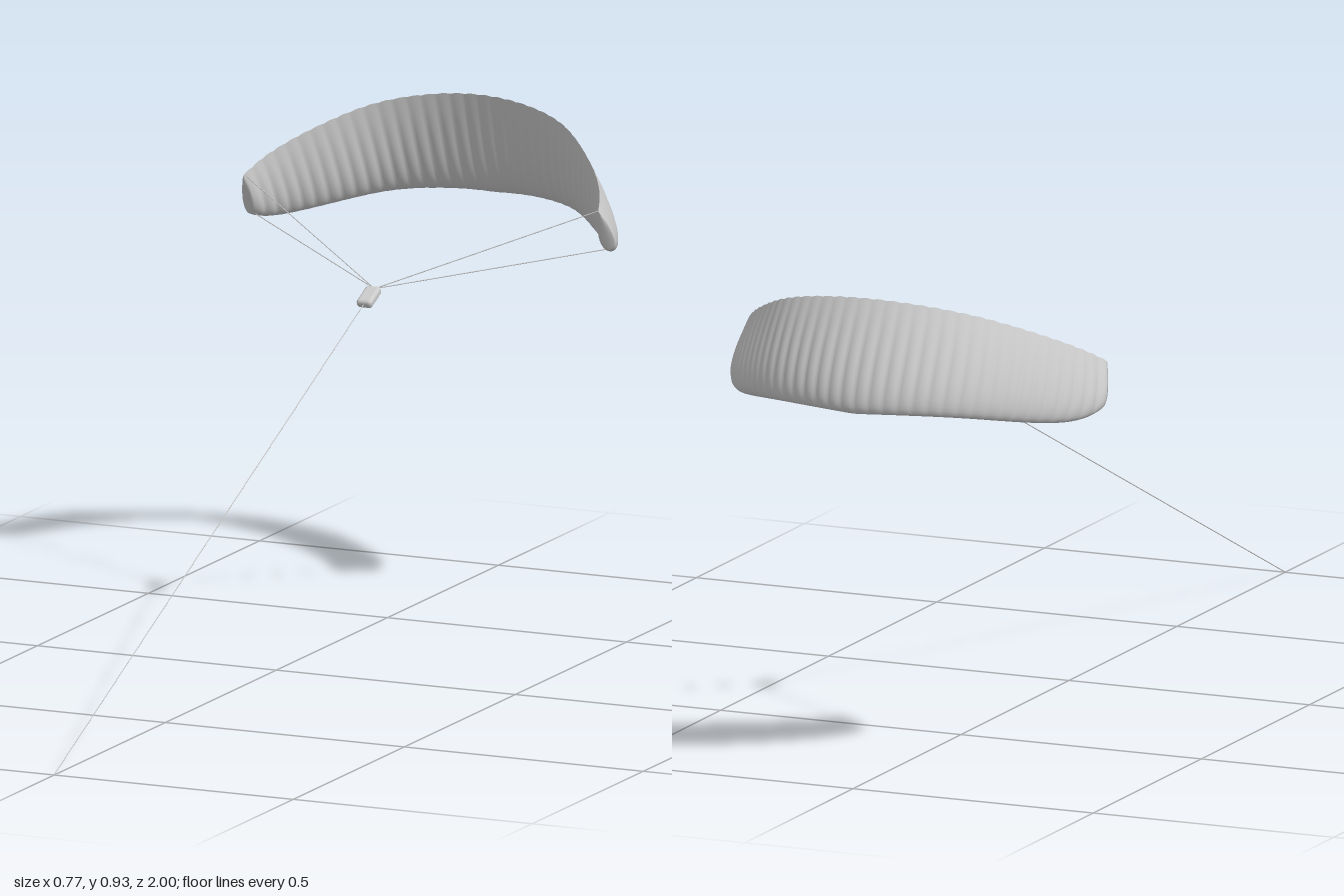
import * as THREE from 'three';
import { RoundedBoxGeometry } from 'three/addons/geometries/RoundedBoxGeometry.js';

const CELLS = 36, PER_CELL = 6, RING = 14;
const TILT = 0.429; // pull angle of the tether
// Kite axes: U points away along the tether, V runs from nose to trailing edge
const U = new THREE.Vector3(0, Math.sin(TILT), -Math.cos(TILT));
const V = new THREE.Vector3(0, Math.cos(TILT), Math.sin(TILT));

const grey = new THREE.MeshStandardMaterial({ color: 0xcccccc });
const cloth = new THREE.MeshStandardMaterial({ color: 0xcccccc, side: THREE.DoubleSide });

// Span arch in the x-U plane
const half = [[0.1, 1.2], [0.2, 1.155], [0.3, 1.055], [0.35, 0.98], [0.372, 0.922]];
const arch = new THREE.CatmullRomCurve3([
  ...half.slice().reverse().map(([x, u]) => new THREE.Vector3(-x, u, 0)),
  new THREE.Vector3(0, 1.214, 0),
  ...half.map(([x, u]) => new THREE.Vector3(x, u, 0)),
]);

// Half thickness of the aerofoil, 1 at its fattest; q = 0 nose, 1 trailing edge
const foil = (q) =>
  2 * (1.4845 * Math.sqrt(q) - 0.63 * q - 1.758 * q * q + 1.4215 * q ** 3 - 0.518 * q ** 4);

function canopyGeometry() {
  const pos = [], index = [];
  const stations = CELLS * PER_CELL, row = 2 * RING + 1;
  for (let i = -1; i <= stations + 1; i++) {
    const s = Math.min(Math.max(i / stations, 0), 1);
    const closed = i < 0 || i > stations; // flat end rings close the tips
    const a = Math.abs(2 * s - 1);
    const p = arch.getPointAt(s), t = arch.getTangentAt(s);
    const puff = Math.abs(Math.sin(Math.PI * s * CELLS));
    const nose = 0.25 + 0.07 * a ** 1.3 + 0.04 * a ** 10;
    const tail = 0.471 - 0.02 * a * a + 0.002 * puff;
    const thick = closed ? 0 : 0.017 - 0.005 * a ** 4 + 0.0035 * puff;
    for (let j = 0; j < row; j++) {
      // outer skin from trailing edge to nose, then inner skin back
      const k = Math.abs(1 - j / RING);
      const q = k * k;
      const side = j <= RING ? 1 : -1;
      const off = side * thick * foil(q) + (1 - q) * (-0.008 + 0.014 * a ** 4);
      const x = p.x - t.y * off, u = p.y + t.x * off;
      const v = nose + (tail - nose) * q;
      pos.push(x, U.y * u + V.y * v, U.z * u + V.z * v);
    }
  }
  for (let i = 0; i < stations + 2; i++) {
    for (let j = 0; j < row - 1; j++) {
      const a = i * row + j, b = a + row;
      index.push(a, b, a + 1, b, b + 1, a + 1);
    }
  }
  const g = new THREE.BufferGeometry();
  g.setAttribute('position', new THREE.Float32BufferAttribute(pos, 3));
  g.setIndex(index);
  g.computeVertexNormals();
  return g;
}

export function createModel() {
  const group = new THREE.Group();
  const add = (name, geometry, material = grey) => {
    const mesh = new THREE.Mesh(geometry, material);
    mesh.name = name;
    group.add(mesh);
    return mesh;
  };
  const line = (name, from, to, radius) =>
    add(name, new THREE.TubeGeometry(
      new THREE.LineCurve3(new THREE.Vector3(...from), new THREE.Vector3(...to)), 1, radius, 6));

  // Ribbed inflated wing
  add('canopy', canopyGeometry(), cloth);

  // Control pod, in line with the tether
  const pod = add('controlPod', new RoundedBoxGeometry(0.032, 0.017, 0.055, 3, 0.007));
  pod.position.set(0, 0.641, -0.417);
  pod.rotation.x = TILT;

  // Two bridle lines to each wing tip
  const knot = [0, 0.652, -0.442];
  for (const [side, label] of [[1, 'left'], [-1, 'right']]) {
    line(label + 'RearBridle', knot, [side * 0.371, 0.795, -0.656], 0.001);
    line(label + 'FrontBridle', knot, [side * 0.368, 0.712, -0.695], 0.001);
  }

  // Tether down to the ground
  line('tether', [0, 0.632, -0.395], [0, 0.001, 1], 0.001);
  return group;
}
